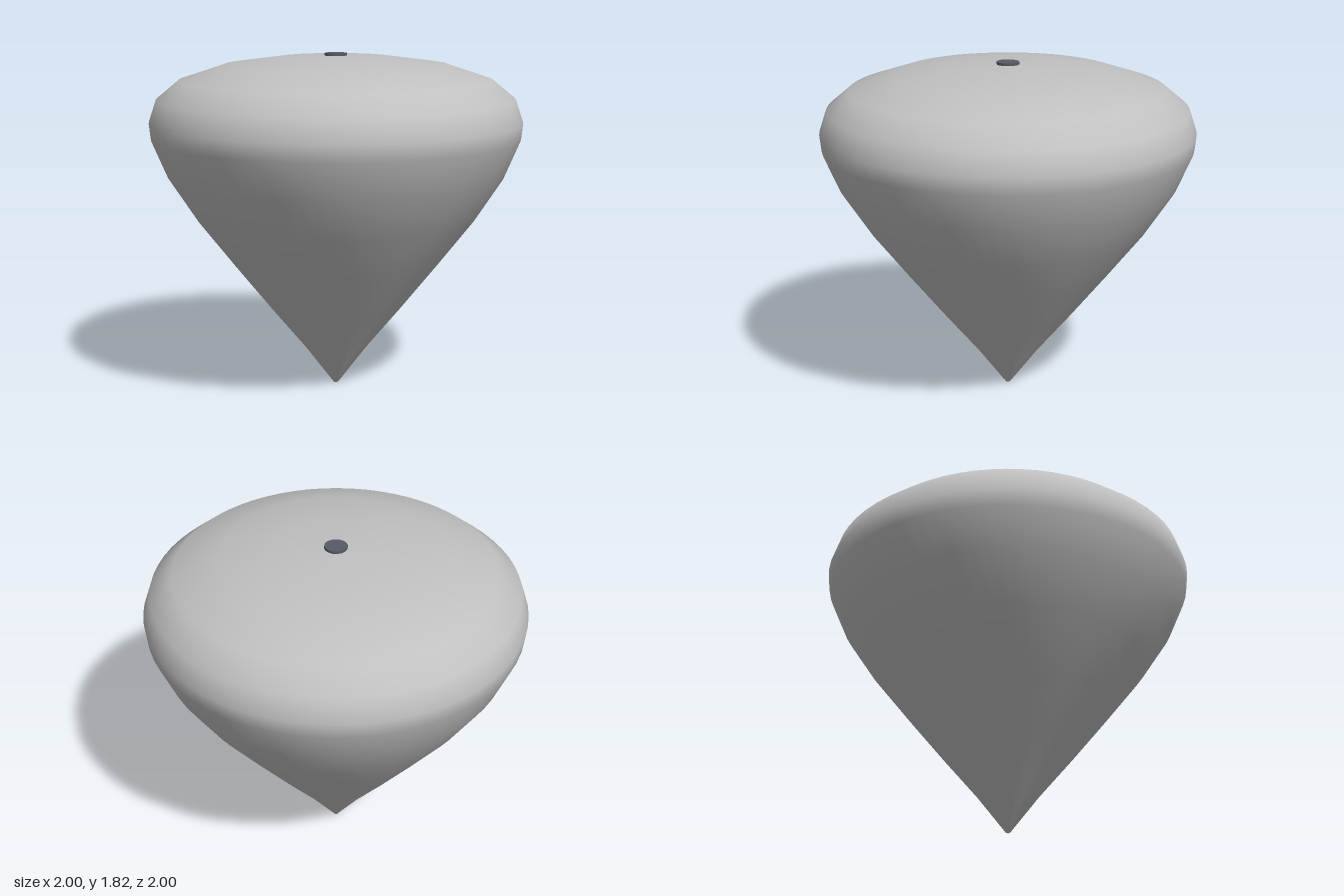
import * as THREE from 'three';

export function createModel() {
  const group = new THREE.Group();
  const bodyGray = new THREE.MeshStandardMaterial({ color: 0xc0c0c0 });
  const darkSlate = new THREE.MeshStandardMaterial({ color: 0x555a64 });

  // Turned body: pointed tip, flaring sides, rounded shoulder, shallow dome
  const profile = [
    [0, 0], [0.012, 0], [0.17, 0.21], [0.36, 0.44], [0.56, 0.69], [0.755, 0.94],
    [0.905, 1.17], [0.99, 1.37], [1, 1.46], [0.96, 1.58],
    [0.84, 1.68], [0.6, 1.76], [0.31, 1.8], [0, 1.81],
  ].map(([r, y]) => new THREE.Vector2(r, y));
  const body = new THREE.Mesh(new THREE.LatheGeometry(profile, 64), bodyGray);
  body.name = 'body';
  group.add(body);

  // Small round button on the crown
  const button = new THREE.Mesh(new THREE.CylinderGeometry(0.06, 0.06, 0.02, 16), darkSlate);
  button.name = 'topButton';
  button.position.y = 1.812;
  group.add(button);

  return group;
}
